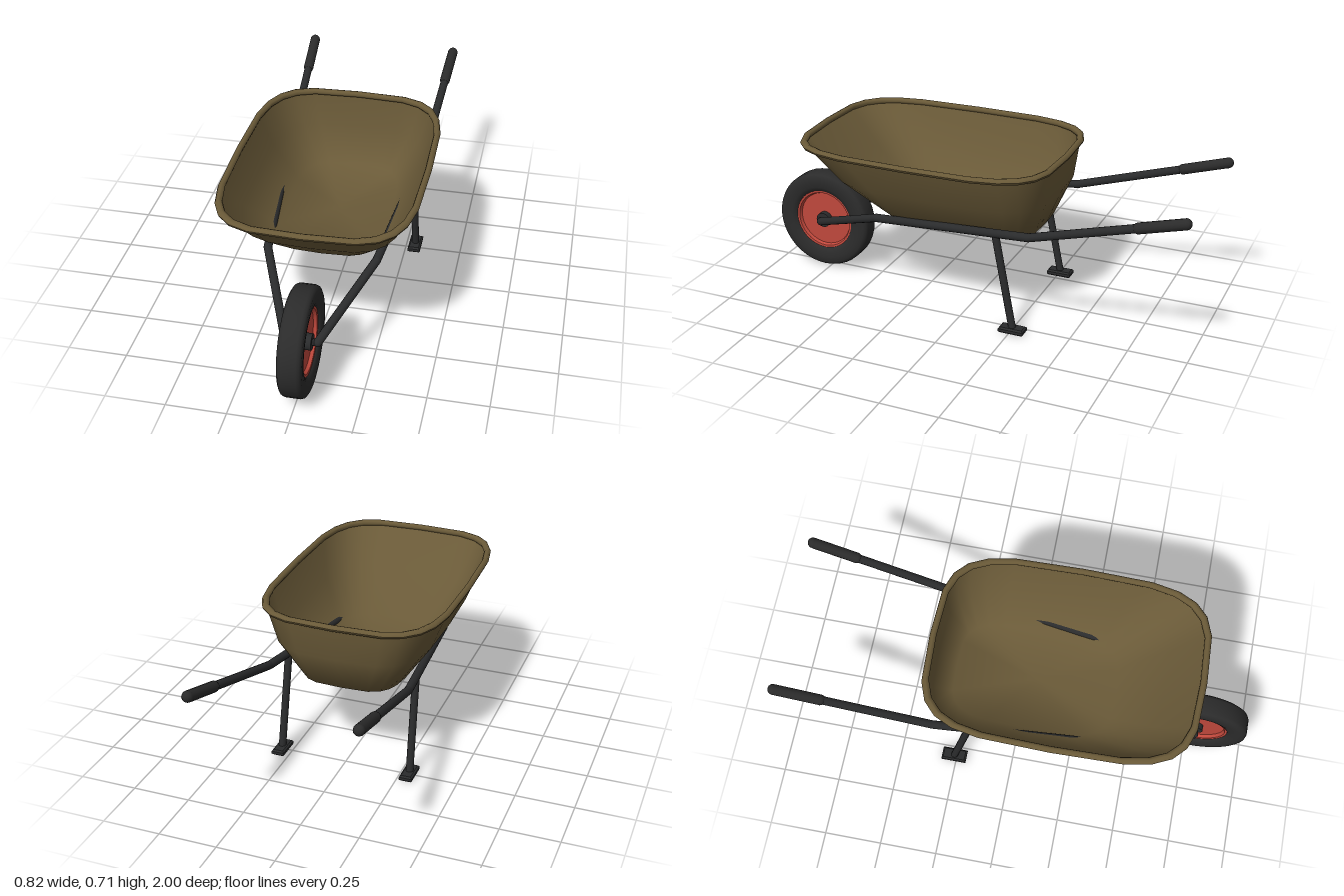
import * as THREE from 'three';
import { mergeGeometries, toCreasedNormals } from 'three/addons/utils/BufferGeometryUtils.js';

const olive = new THREE.MeshStandardMaterial({ color: 0x6a5a38, side: THREE.DoubleSide });
olive.name = 'olive tub paint';
const red = new THREE.MeshStandardMaterial({ color: 0xc0483c });
red.name = 'red wheel paint';
const black = new THREE.MeshStandardMaterial({ color: 0x2a2b2c });
black.name = 'black tube paint';
const rubber = new THREE.MeshStandardMaterial({ color: 0x2b2b2b });
rubber.name = 'black rubber';

const V = (x, y, z) => new THREE.Vector3(x, y, z);

function part(name, geometry, material) {
  const mesh = new THREE.Mesh(geometry, material);
  mesh.name = name;
  return mesh;
}

// Skin through superellipse rings [y, half width, half length, centre z]
function loft(rings) {
  const n = 24, pos = [], index = [];
  const soft = (v) => Math.sign(v) * Math.sqrt(Math.abs(v));
  rings.forEach(([y, a, b, c], i) => {
    for (let j = 0; j < n; j++) {
      const t = (j / n) * Math.PI * 2;
      pos.push(a * soft(Math.cos(t)), y, c + b * soft(Math.sin(t)));
      if (i === rings.length - 1) continue;
      const p = i * n + j, q = i * n + ((j + 1) % n);
      index.push(p, p + n, q, q, p + n, q + n);
    }
  });
  const g = new THREE.BufferGeometry();
  g.setAttribute('position', new THREE.Float32BufferAttribute(pos, 3));
  g.setIndex(index);
  g.computeVertexNormals();
  return g;
}

// Round bar through points, with ball joints and ends
function rod(points, r) {
  const bits = [];
  points.forEach((p, i) => {
    bits.push(new THREE.SphereGeometry(r, 12, 8).translate(p.x, p.y, p.z));
    if (i === 0) return;
    const dir = p.clone().sub(points[i - 1]);
    const mid = p.clone().add(points[i - 1]).multiplyScalar(0.5);
    const turn = new THREE.Quaternion().setFromUnitVectors(V(0, 1, 0), dir.clone().normalize());
    bits.push(new THREE.CylinderGeometry(r, r, dir.length(), 12, 1, true)
      .applyQuaternion(turn).translate(mid.x, mid.y, mid.z));
  });
  return mergeGeometries(bits);
}

// Symmetric lathe on the x axis from a half profile of [radius, side offset]
function wheelLathe(half) {
  const pts = half.map(([r, x]) => new THREE.Vector2(r, -x));
  [...half].reverse().forEach(([r, x]) => pts.push(new THREE.Vector2(r, x)));
  return toCreasedNormals(new THREE.LatheGeometry(pts, 40).rotateZ(-Math.PI / 2), 0.7);
}

export function createModel() {
  const model = new THREE.Group();
  model.name = 'wheelbarrow';

  // Tub: floor, lower wall, upper wall
  model.add(part('tub', loft([
    [0.39, 0, 0, 0.057],
    [0.39, 0.225, 0.35, 0.057],
    [0.55, 0.337, 0.48, 0.121],
    [0.704, 0.393, 0.561, 0.185],
  ]), olive));

  // Rolled rim
  const rim = [];
  for (let i = 0; i <= 8; i++) {
    const t = (i / 8) * Math.PI * 2, c = 0.014 * Math.cos(t);
    rim.push([0.704 + 0.014 * Math.sin(t), 0.394 + c, 0.561 + c, 0.185]);
  }
  model.add(part('rim', loft(rim), olive));

  // Wheel
  const wheel = new THREE.Group();
  wheel.name = 'wheel';
  wheel.position.set(0, 0.231, 0.775);
  wheel.add(part('tyre', wheelLathe([
    [0.136, 0.03], [0.142, 0.04], [0.16, 0.047], [0.185, 0.05],
    [0.208, 0.049], [0.22, 0.042], [0.225, 0.03],
  ]), rubber));
  wheel.add(part('wheelDisc', wheelLathe([[0, 0.02], [0.124, 0.02], [0.13, 0.034], [0.141, 0.036]]), red));
  wheel.add(part('hub', new THREE.CylinderGeometry(0.034, 0.034, 0.09, 20).rotateZ(Math.PI / 2), black));
  wheel.add(part('axle', new THREE.CylinderGeometry(0.014, 0.014, 0.13, 12).rotateZ(Math.PI / 2), black));
  model.add(wheel);

  // Frame rails, grips, legs and feet on both sides
  for (const s of [1, -1]) {
    const side = new THREE.Group();
    side.name = s > 0 ? 'leftFrame' : 'rightFrame';
    const bend = V(s * 0.305, 0.458, -0.33), tip = V(s * 0.338, 0.648, -0.977);
    side.add(part('rail', rod([V(s * 0.066, 0.233, 0.775), V(s * 0.227, 0.384, 0.4), bend, tip], 0.018), black));
    side.add(part('grip', rod([bend.clone().lerp(tip, 0.71), tip], 0.023), rubber));
    side.add(part('leg', rod([V(s * 0.286, 0.435, -0.178), V(s * 0.293, 0.02, -0.26)], 0.016), black));

    // Foot plate with chamfered edges
    const shape = new THREE.Shape();
    shape.moveTo(-0.021, -0.048).lineTo(0.021, -0.048).lineTo(0.021, 0.048).lineTo(-0.021, 0.048);
    const foot = new THREE.ExtrudeGeometry(shape, {
      depth: 0.012, bevelEnabled: true, bevelSize: 0.007, bevelThickness: 0.007, bevelSegments: 1,
    }).rotateX(-Math.PI / 2).translate(s * 0.292, 0.01, -0.26);
    side.add(part('foot', foot, black));
    model.add(side);
  }
  return model;
}
